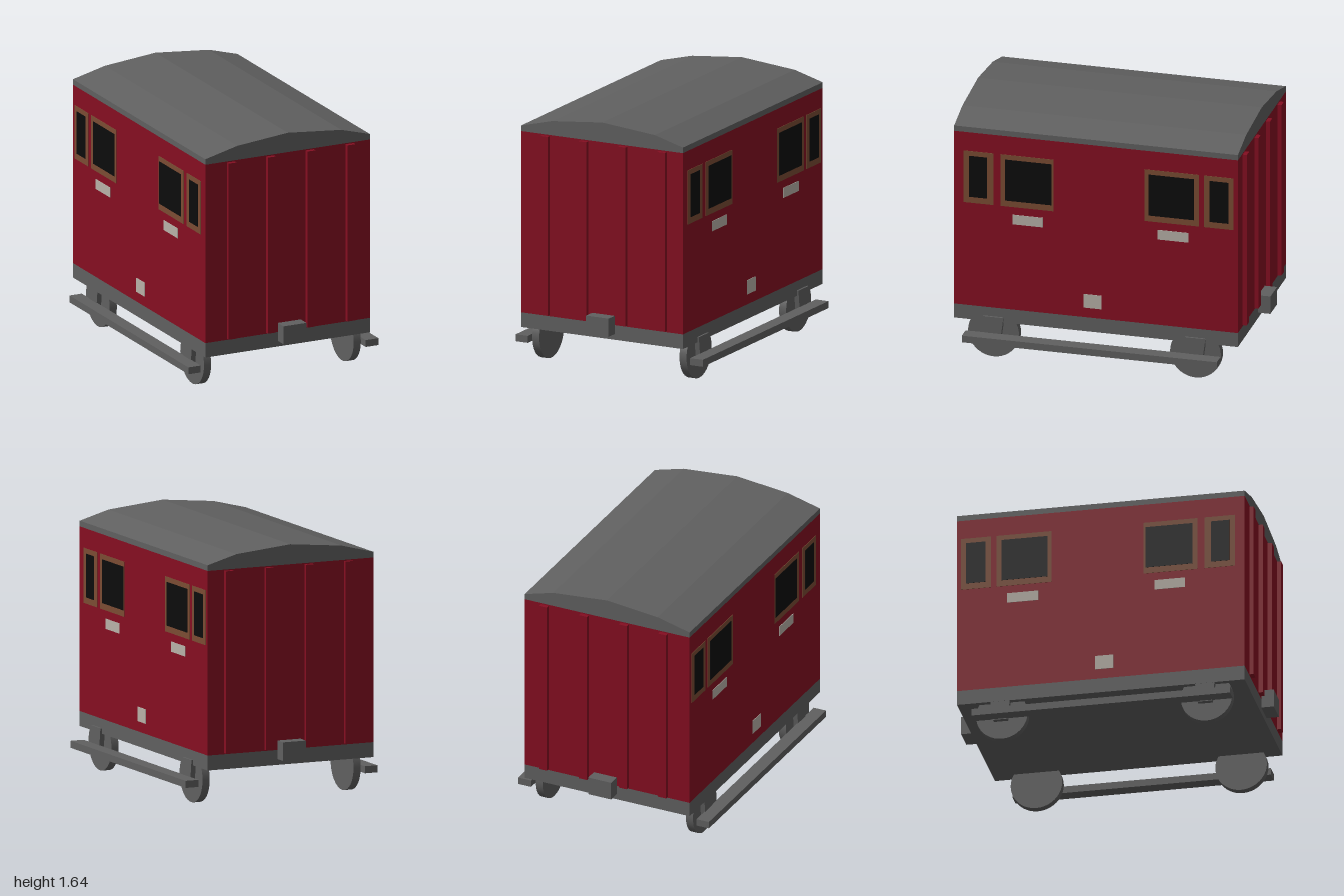
import * as THREE from 'three';

const mat = (name, hex) => {
  const m = new THREE.MeshStandardMaterial({ color: hex });
  m.name = name;
  return m;
};

export function createModel() {
  const red = mat('carriageRed', 0x850e21);
  const grey = mat('grey', 0x606060);
  const brown = mat('frameBrown', 0x7b4c33);
  const black = mat('windowBlack', 0x0c0c0c);
  const pale = mat('labelPale', 0xb8b1a8);
  const model = new THREE.Group();
  model.name = 'carriage';

  const add = (name, geometry, material) => {
    const mesh = new THREE.Mesh(geometry, material);
    mesh.name = name;
    model.add(mesh);
    return mesh;
  };
  // Box given by its lower and upper limits on each axis
  const box = (name, material, x0, x1, y0, y1, z0, z1) =>
    add(name, new THREE.BoxGeometry(x1 - x0, y1 - y0, z1 - z0), material)
      .position.set((x0 + x1) / 2, (y0 + y1) / 2, (z0 + z1) / 2);

  const L = -0.588, R = 0.565, END = 0.92;

  // Chassis and body
  box('chassis', grey, L, R, 0.245, 0.34, -END, END);
  box('body', red, L, R, 0.34, 1.513, -END, END);

  // Faceted arched roof
  const arch = new THREE.Shape([
    [L, 1.513], [R, 1.513], [R, 1.549], [0.365, 1.605], [-0.01, 1.64], [-0.365, 1.605], [L, 1.549],
  ].map(([x, y]) => new THREE.Vector2(x, y)));
  add('roof', new THREE.ExtrudeGeometry(arch, { depth: 2 * END, bevelEnabled: false }), grey)
    .position.z = -END;

  // Both ends: upright battens and a buffer block
  for (const s of [1, -1]) {
    const ends = [s * 0.915, s * 0.947].sort((a, b) => a - b);
    for (const x of [-0.41, -0.135, 0.143, 0.423])
      box('endBatten', red, x - 0.028, x + 0.028, 0.348, 1.506, ...ends);
    const bz = [s * 0.91, s].sort((a, b) => a - b);
    box('buffer', grey, -0.08, 0.08, 0.282, 0.4, ...bz);
  }

  // Windows: outer z limits, then glass z limits
  const windows = [
    [0.665, 0.858, 0.705, 0.823],
    [0.275, 0.62, 0.287, 0.588],
    [-0.667, -0.315, -0.635, -0.34],
    [-0.893, -0.702, -0.86, -0.737],
  ];
  // Labels: z limits, then y limits
  const labels = [[0.345, 0.54, 0.92, 0.985], [-0.6, -0.4, 0.92, 0.985], [-0.035, 0.08, 0.405, 0.497]];

  for (const s of [1, -1]) {
    const wall = s > 0 ? R : L;
    // Thin plate on a side wall
    const plate = (name, material, z0, z1, y0, y1, t) =>
      box(name, material, Math.min(wall, wall + s * t), Math.max(wall, wall + s * t), y0, y1, z0, z1);
    for (const [a, b, c, d] of windows) {
      plate('windowFrame', brown, a, b, 1.037, 1.387, 0.003);
      plate('windowGlass', black, c, d, 1.077, 1.355, 0.005);
    }
    for (const [a, b, c, d] of labels) plate('label', pale, a, b, c, d, 0.003);

    // Wheels and tapered hangers
    const wheelX = s > 0 ? 0.52 : -0.53;
    for (const z of [0.67, -0.64]) {
      const wheel = add('wheel', new THREE.CylinderGeometry(0.165, 0.165, 0.05, 40), grey);
      wheel.rotation.z = Math.PI / 2;
      wheel.position.set(wheelX, 0.165, z);

      const hanger = new THREE.Shape([[-0.046, 0.12], [0.046, 0.12], [0.067, 0.28], [-0.067, 0.28]]
        .map(([u, y]) => new THREE.Vector2(u, y)));
      const mesh = add('stepHanger', new THREE.ExtrudeGeometry(hanger, { depth: 0.033, bevelEnabled: false }), grey);
      mesh.rotation.y = Math.PI / 2;
      mesh.position.set(s > 0 ? 0.544 : -0.587, 0, z - 0.005);
    }
    // Running board
    const step = s > 0 ? [0.575, 0.665] : [-0.668, -0.582];
    box('runningBoard', grey, ...step, 0.125, 0.17, -0.81, 0.843);
  }
  return model;
}
